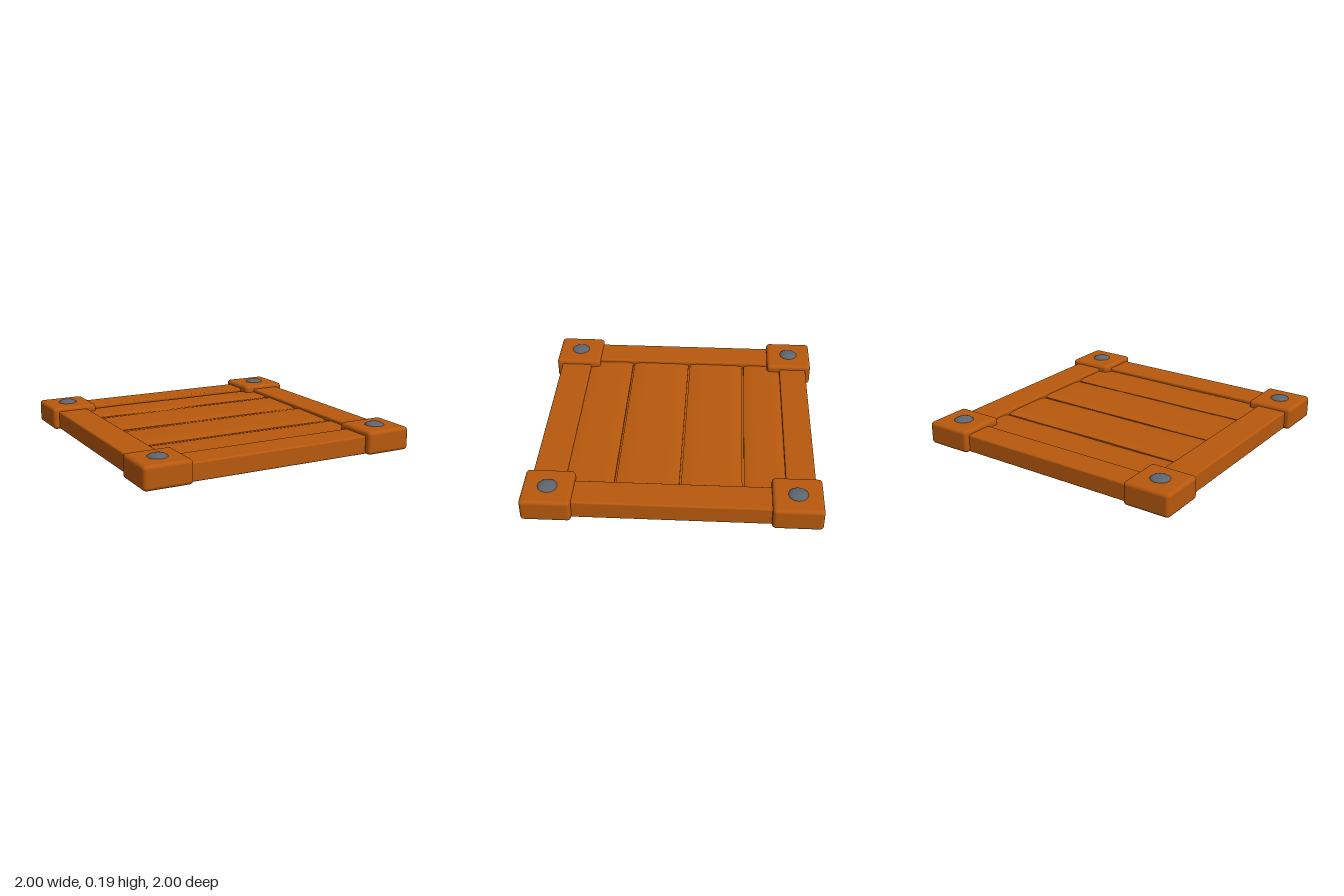
import * as THREE from 'three';
import { RoundedBoxGeometry } from 'three/addons/geometries/RoundedBoxGeometry.js';

export function createModel() {
  const group = new THREE.Group();
  const wood = new THREE.MeshStandardMaterial({ color: 0xb8590d });
  wood.name = 'wood';
  const iron = new THREE.MeshStandardMaterial({ color: 0x5f6570 });
  iron.name = 'iron';

  const add = (name, geometry, material) => {
    const mesh = new THREE.Mesh(geometry, material);
    mesh.name = name;
    group.add(mesh);
    return mesh;
  };

  // Rounded block given by its extents on each axis
  const block = (name, [x0, x1], [y0, y1], [z0, z1], radius) => {
    const geo = new RoundedBoxGeometry(x1 - x0, y1 - y0, z1 - z0, 3, radius);
    geo.translate((x0 + x1) / 2, (y0 + y1) / 2, (z0 + z1) / 2);
    return add(name, geo, wood);
  };

  // Flat backing board that closes the underside
  const base = new THREE.BoxGeometry(1.84, 0.08, 1.86);
  base.translate(0, 0.044, 0);
  add('backingBoard', base, wood);

  // Four planks with narrow grooves and slightly worn tops
  const seams = [-0.77, -0.47, -0.045, 0.395, 0.75];
  for (let i = 0; i < 4; i++) {
    const z0 = seams[i] + 0.006, z1 = seams[i + 1] - 0.006;
    const shape = new THREE.BoxGeometry(1.52, 0.09, z1 - z0, 16, 1, 8);
    shape.translate(0, 0.067, (z0 + z1) / 2);
    const p = shape.attributes.position;
    for (let v = 0; v < p.count; v++) {
      if (p.getY(v) < 0.1) continue;
      const x = p.getX(v), z = p.getZ(v);
      const edge = Math.min(z - z0, z1 - z);
      const wear = 0.002 * Math.sin(x * 5 + i * 2) * Math.sin(z * 9 + x * 2);
      p.setY(v, 0.112 + wear - (edge < 0.01 ? 0.01 : 0));
    }
    shape.computeVertexNormals();
    add('plank' + (i + 1), shape, wood);
  }

  // Frame rails
  block('frontRail', [-0.8, 0.8], [0.003, 0.13], [0.73, 0.958], 0.012);
  block('backRail', [-0.8, 0.8], [0.003, 0.13], [-0.96, -0.757], 0.012);
  for (const [name, s] of [['left', 1], ['right', -1]]) {
    const xs = [s * 0.732, s * 0.955].sort((a, b) => a - b);
    block(name + 'Rail', xs, [0.003, 0.135], [-0.8, 0.8], 0.012);
  }

  // Corner blocks with domed rivets
  for (const sx of [1, -1]) {
    for (const sz of [1, -1]) {
      const name = (sz > 0 ? 'front' : 'back') + (sx > 0 ? 'Left' : 'Right');
      const range = s => [s * 0.66, s * 0.998].sort((a, b) => a - b);
      block(name + 'Corner', range(sx), [0, 0.163], range(sz), 0.026);
      const dome = new THREE.SphereGeometry(0.07, 12, 5, 0, Math.PI * 2, 0, Math.PI / 2);
      dome.scale(1, 0.4, 1);
      add(name + 'Rivet', dome, iron).position.set(sx * 0.83, 0.157, sz * 0.83);
    }
  }
  return group;
}
